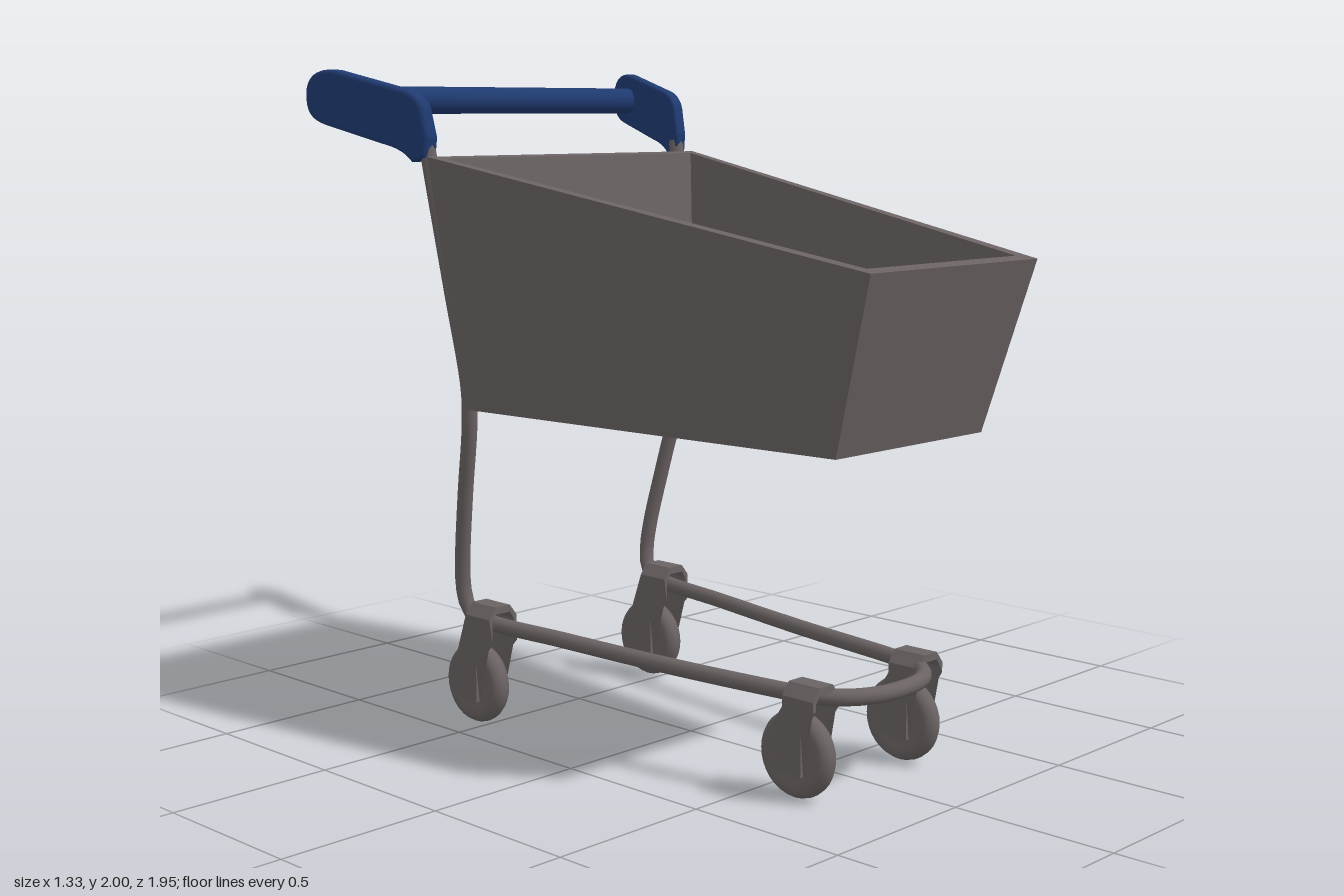
import * as THREE from 'three';

const grey = new THREE.MeshStandardMaterial({ color: 0x6b6363 });
grey.name = 'warm grey';
const blue = new THREE.MeshStandardMaterial({ color: 0x1f3a70 });
blue.name = 'navy blue';

function add(parent, name, geometry, material) {
  const mesh = new THREE.Mesh(geometry, material);
  mesh.name = name;
  parent.add(mesh);
  return mesh;
}

// Four corners of a symmetric ring, counter-clockwise seen from above
const ring = (xb, yb, zb, xf, yf, zf) => [[xf, yf, zf], [xb, yb, zb], [-xb, yb, zb], [-xf, yf, zf]];

// Open tapered tray with thick walls and a sloping rim
function basketGeometry() {
  const rings = [
    ring(0.495, 1.0, -0.45, 0.32, 0.98, 0.83),
    ring(0.56, 1.745, -0.53, 0.365, 1.475, 0.975),
    ring(0.52, 1.74, -0.5, 0.325, 1.483, 0.93),
    ring(0.46, 1.03, -0.425, 0.287, 1.015, 0.795),
  ];
  const pos = [];
  const quad = (a, b, c, d) => pos.push(...a, ...b, ...c, ...a, ...c, ...d);
  for (let r = 0; r < 3; r++) {
    for (let i = 0; i < 4; i++) {
      const j = (i + 1) % 4;
      quad(rings[r][i], rings[r][j], rings[r + 1][j], rings[r + 1][i]);
    }
  }
  quad(...rings[3]);
  quad(...[...rings[0]].reverse());
  const geo = new THREE.BufferGeometry();
  geo.setAttribute('position', new THREE.Float32BufferAttribute(pos, 3));
  geo.computeVertexNormals();
  return geo;
}

// One bent tube: down a rear post, round the base, up the other post
function frameGeometry() {
  const half = [
    [0.525, 1.78, -0.572], [0.52, 1.7, -0.56], [0.487, 1.35, -0.515], [0.46, 1.06, -0.478],
    [0.452, 0.95, -0.485], [0.43, 0.72, -0.537], [0.407, 0.5, -0.582], [0.398, 0.41, -0.588],
    [0.39, 0.35, -0.57], [0.382, 0.328, -0.51], [0.345, 0.315, -0.2], [0.295, 0.302, 0.2],
    [0.245, 0.297, 0.58], [0.225, 0.295, 0.68], [0.17, 0.295, 0.755], [0.08, 0.295, 0.802],
  ];
  const mirrored = half.map(([x, y, z]) => [-x, y, z]).reverse();
  const points = [...half, ...mirrored].map((p) => new THREE.Vector3(...p));
  return new THREE.TubeGeometry(new THREE.CatmullRomCurve3(points), 160, 0.024, 12);
}

// Curved side grip: rounded plate that splays outwards towards the back
function gripGeometry(side) {
  const s = new THREE.Shape();
  s.moveTo(-0.6, 1.74);
  s.lineTo(-0.562, 1.75);
  s.lineTo(-0.556, 1.8);
  s.lineTo(-0.575, 1.885);
  s.quadraticCurveTo(-0.59, 1.92, -0.64, 1.932);
  s.lineTo(-0.87, 1.988);
  s.bezierCurveTo(-0.93, 1.995, -0.96, 1.97, -0.96, 1.93);
  s.bezierCurveTo(-0.963, 1.88, -0.95, 1.86, -0.9, 1.845);
  s.lineTo(-0.7, 1.79);
  s.quadraticCurveTo(-0.63, 1.775, -0.6, 1.74);
  const geo = new THREE.ExtrudeGeometry(s, {
    depth: 0.022, bevelEnabled: true, bevelThickness: 0.012, bevelSize: 0.011, bevelSegments: 3, curveSegments: 8,
  });
  geo.translate(0, 0, -0.011).rotateY(-Math.PI / 2);
  const p = geo.attributes.position;
  for (let i = 0; i < p.count; i++) {
    p.setX(i, p.getX(i) + side * (0.525 - (p.getZ(i) + 0.55) * 0.29));
  }
  geo.computeVertexNormals();
  return geo;
}

// Inverted U strap whose top is shifted forward of the axle
function forkGeometry(top, shift) {
  const outer = [[0.055, 0.08], [0.055, 0.2], [0.055, 0.27], [0.055, top - 0.035], [0.028, top]];
  const inner = [[0.028, top - 0.022], [0.043, top - 0.045], [0.043, 0.27], [0.043, 0.2], [0.043, 0.08]];
  const flip = (list) => list.map(([x, y]) => [-x, y]).reverse();
  const outline = [...outer, ...flip(outer), ...flip(inner), ...inner];
  const shape = new THREE.Shape(outline.map(([x, y]) => new THREE.Vector2(x, y)));
  const geo = new THREE.ExtrudeGeometry(shape, { depth: 0.11, bevelEnabled: false });
  geo.translate(0, 0, -0.055);
  const p = geo.attributes.position;
  for (let i = 0; i < p.count; i++) {
    p.setZ(i, p.getZ(i) + shift * THREE.MathUtils.clamp((p.getY(i) - 0.2) / 0.07, 0, 1));
  }
  geo.computeVertexNormals();
  return geo;
}

// Rounded tyre with a slightly sunken hub
function wheelGeometry() {
  const profile = [
    [0, -0.024], [0.065, -0.024], [0.075, -0.032], [0.1, -0.032], [0.115, -0.025], [0.123, -0.012], [0.125, 0],
  ];
  const far = profile.slice(0, -1).map(([r, h]) => [r, -h]).reverse();
  const points = [...profile, ...far].map(([r, h]) => new THREE.Vector2(r, h));
  return new THREE.LatheGeometry(points, 32).rotateZ(Math.PI / 2);
}

function caster(name, x, z, top, shift) {
  const group = new THREE.Group();
  group.name = name;
  add(group, 'wheel', wheelGeometry(), grey).position.y = 0.125;
  add(group, 'axle', new THREE.CylinderGeometry(0.016, 0.016, 0.1, 12).rotateZ(Math.PI / 2), grey).position.y = 0.125;
  add(group, 'fork', forkGeometry(top, shift), grey);
  group.position.set(x, 0, z);
  return group;
}

export function createModel() {
  const cart = new THREE.Group();
  cart.name = 'shoppingCart';
  add(cart, 'basket', basketGeometry(), grey);
  add(cart, 'frame', frameGeometry(), grey);

  const bar = new THREE.CylinderGeometry(0.042, 0.042, 1.22, 20).rotateZ(Math.PI / 2);
  add(cart, 'handleBar', bar, blue).position.set(0, 1.91, -0.868);

  for (const [label, side] of [['left', 1], ['right', -1]]) {
    add(cart, label + 'Grip', gripGeometry(side), blue);
    cart.add(caster(label + 'FrontCaster', side * 0.233, 0.635, 0.335, 0.043));
    cart.add(caster(label + 'BackCaster', side * 0.378, -0.55, 0.385, 0.065));
  }
  return cart;
}
